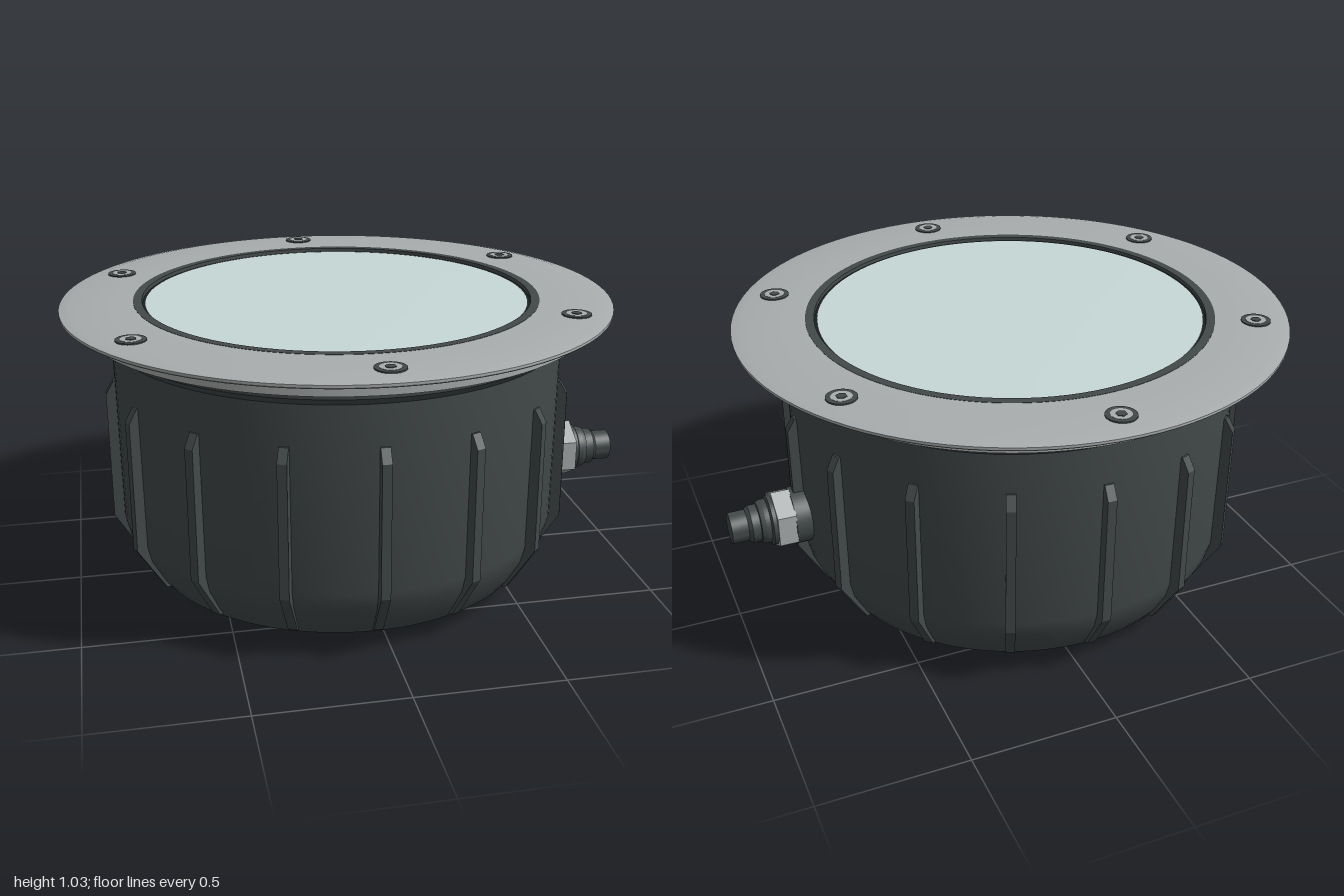
import * as THREE from 'three';
import { toCreasedNormals } from 'three/addons/utils/BufferGeometryUtils.js';

const mat = (name, color) => {
  const m = new THREE.MeshStandardMaterial({ color });
  m.name = name;
  return m;
};

export function createModel() {
  const dark = mat('dark plastic', 0x434949);
  const steel = mat('brushed steel', 0xa9adad);
  const glass = mat('pale glass', 0xc6d8d6);
  const black = mat('black seal', 0x1c1f1f);

  const model = new THREE.Group();
  model.name = 'recessedLamp';
  const lamp = new THREE.Group();
  lamp.name = 'lamp';
  lamp.position.x = -0.046;
  model.add(lamp);

  const add = (parent, name, geometry, material) => {
    const mesh = new THREE.Mesh(geometry, material);
    mesh.name = name;
    parent.add(mesh);
    return mesh;
  };
  // Turned solid; profile runs from bottom to top along the outside
  const turned = (profile, segments = 96, crease = 0.4) => toCreasedNormals(
    new THREE.LatheGeometry(profile.map(([r, y]) => new THREE.Vector2(r, y)), segments), crease);

  // Housing bowl with flared lip
  add(lamp, 'housing', turned([
    [0, 0], [0.565, 0], [0.685, 0.06], [0.715, 0.1], [0.765, 0.19], [0.78, 0.25],
    [0.785, 0.89], [0.81, 0.915], [0.81, 0.96], [0.7, 0.96],
  ]), dark);

  // Sixteen ribs around the housing
  const ribShape = new THREE.Shape([
    [0.68, 0.08], [0.715, 0.08], [0.817, 0.245], [0.817, 0.705], [0.79, 0.75], [0.75, 0.75],
  ].map(([x, y]) => new THREE.Vector2(x, y)));
  const ribGeometry = new THREE.ExtrudeGeometry(ribShape, { depth: 0.032, bevelEnabled: false });
  ribGeometry.translate(0, 0, -0.016);
  const ribs = new THREE.Group();
  ribs.name = 'ribs';
  lamp.add(ribs);
  for (let i = 0; i < 16; i++) {
    add(ribs, 'rib', ribGeometry, dark).rotation.y = i * Math.PI / 8;
  }

  // Steel collar and flange
  add(lamp, 'collar', turned([[0.78, 0.95], [0.88, 0.95], [0.88, 1.0], [0.78, 1.0], [0.78, 0.95]]), steel);
  add(lamp, 'flange', turned([
    [0.695, 0.998], [0.95, 0.998], [0.954, 1.002], [0.954, 1.011], [0.92, 1.018],
    [0.745, 1.02], [0.7, 1.02], [0.695, 0.998],
  ]), steel);

  // Seal, shadow gap and lens
  add(lamp, 'seal', turned([[0.67, 0.95], [0.704, 0.95], [0.704, 1.021], [0.674, 1.021], [0.67, 0.95]]), dark);
  add(lamp, 'gapRing', turned([[0.655, 0.96], [0.673, 0.96], [0.673, 1.008], [0.655, 1.008], [0.655, 0.96]]), black);
  add(lamp, 'lens', turned([[0, 0.96], [0.664, 0.96], [0.664, 1.01], [0, 1.012]]), glass);

  // Six flange screws, each in a dark countersink
  for (let i = 0; i < 6; i++) {
    const a = i * Math.PI / 3;
    const screw = new THREE.Group();
    screw.name = 'screw';
    screw.position.set(Math.sin(a) * 0.84, 1.017, Math.cos(a) * 0.84);
    screw.rotation.y = a;
    lamp.add(screw);
    add(screw, 'countersink', turned([[0.034, 0], [0.05, 0], [0.05, 0.006], [0.034, 0.006], [0.034, 0]], 32), dark);
    add(screw, 'screwHead', turned([[0.034, 0], [0.034, 0.007], [0, 0.007]], 32), steel);
    add(screw, 'screwSocket', new THREE.CylinderGeometry(0.018, 0.018, 0.003, 6).translate(0, 0.0075, 0), dark);
  }

  // Cable gland on the model's left side, built along y and turned onto x
  const gland = new THREE.Group();
  gland.name = 'cableGland';
  gland.position.y = 0.367;
  gland.rotation.z = -Math.PI / 2;
  model.add(gland);
  add(gland, 'glandBoss', turned([[0, 0.66], [0.1, 0.66], [0.1, 0.785], [0, 0.785]], 40), dark);
  const nut = new THREE.CylinderGeometry(0.108, 0.108, 0.066, 6);
  nut.rotateY(Math.PI / 2);
  add(gland, 'hexNut', toCreasedNormals(nut, 0.4), steel).position.y = 0.815;
  add(gland, 'glandCap', turned([
    [0, 0.84], [0.088, 0.84], [0.088, 0.862], [0.078, 0.868], [0.078, 0.885], [0.072, 0.9],
    [0.066, 0.902], [0.066, 0.93], [0.055, 0.942], [0.055, 1.0], [0, 1.0],
  ], 40), dark);

  return model;
}
